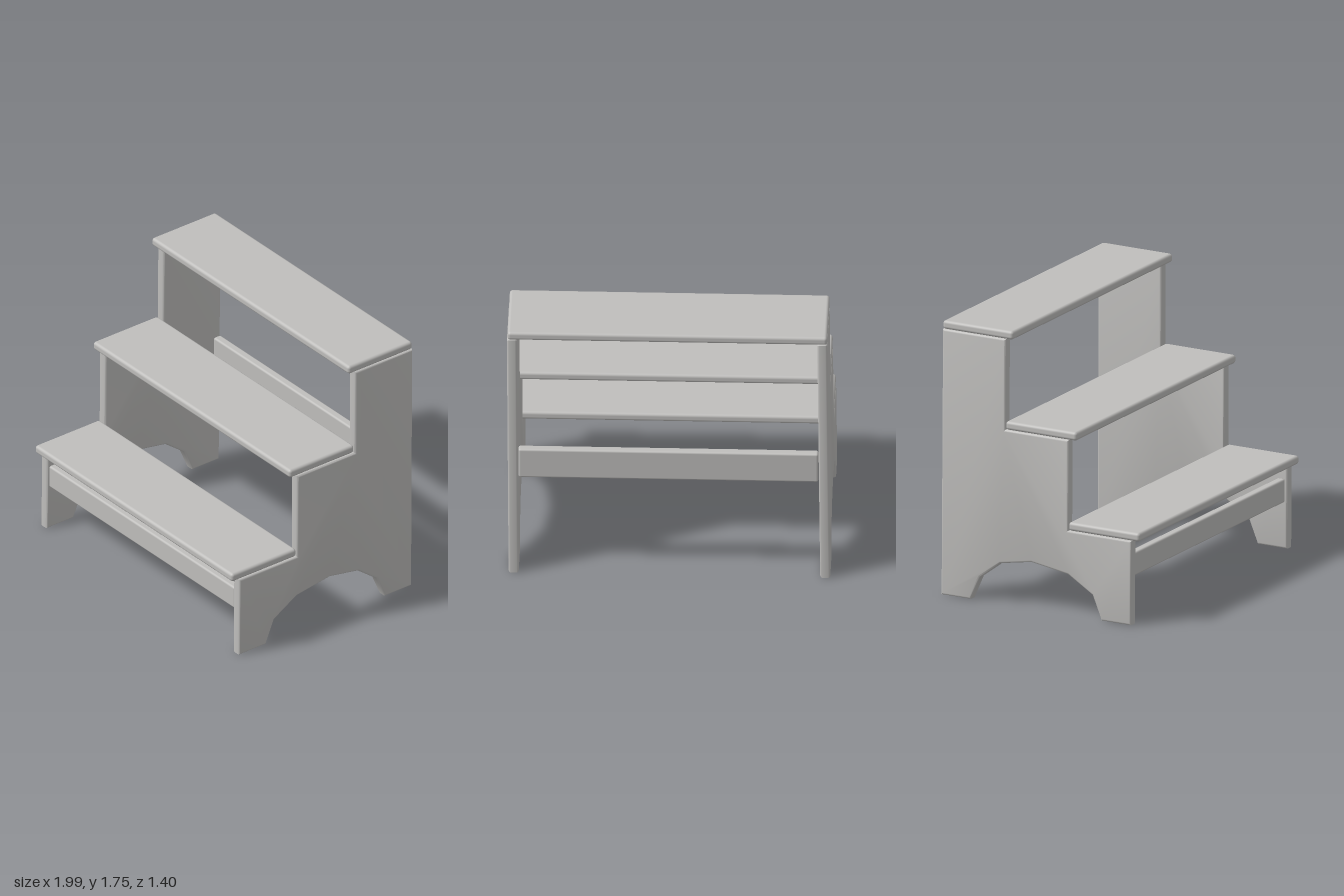
import * as THREE from 'three';
import { toCreasedNormals } from 'three/addons/utils/BufferGeometryUtils.js';
import { RoundedBoxGeometry } from 'three/addons/geometries/RoundedBoxGeometry.js';

// Side outline as [z, y]: stepped top edge and arched foot cut-out
const OUTLINE = [
  [0.65, 0], [0.65, 0.54], [0.2, 0.54], [0.2, 1.12], [-0.25, 1.12], [-0.25, 1.7],
  [-0.7, 1.7], [-0.7, 0], [-0.49, 0], [-0.425, 0.15], [-0.28, 0.26],
  [-0.06, 0.3], [0.2, 0.26], [0.375, 0.155], [0.44, 0],
];
const THICKNESS = 0.063;
const BEVEL = 0.013;

// Side panel whose centre leans from x = bottom to x = top
function panelGeometry(bottom, top) {
  const shape = new THREE.Shape(OUTLINE.map(([z, y]) => new THREE.Vector2(-z, y)));
  const geometry = new THREE.ExtrudeGeometry(shape, {
    depth: THICKNESS - 2 * BEVEL,
    bevelEnabled: true,
    bevelThickness: BEVEL,
    bevelSize: BEVEL,
    bevelOffset: -BEVEL,
    bevelSegments: 3,
  });
  geometry.translate(0, 0, BEVEL - THICKNESS / 2);
  geometry.rotateY(Math.PI / 2);
  const p = geometry.attributes.position;
  for (let i = 0; i < p.count; i++) {
    p.setX(i, p.getX(i) + bottom + (top - bottom) * p.getY(i) / 1.7);
  }
  return toCreasedNormals(geometry, 0.6);
}

export function createModel() {
  const group = new THREE.Group();
  const wood = new THREE.MeshStandardMaterial({ color: 0xbfbebc });
  wood.name = 'pale grey';

  const add = (name, geometry) => {
    const mesh = new THREE.Mesh(geometry, wood);
    mesh.name = name;
    group.add(mesh);
  };

  // Board with rounded edges, given by its limits on each axis
  const board = (name, [x0, x1], [y0, y1], [z0, z1], radius) => {
    const geometry = new RoundedBoxGeometry(x1 - x0, y1 - y0, z1 - z0, 3, radius);
    geometry.translate((x0 + x1) / 2, (y0 + y1) / 2, (z0 + z1) / 2);
    add(name, geometry);
  };

  // Side panels
  add('rightPanel', panelGeometry(-0.968, -0.95));
  add('leftPanel', panelGeometry(0.951, 0.962));

  // Treads
  board('lowerTread', [-0.99, 0.98], [0.54, 0.595], [0.2, 0.705], 0.019);
  board('middleTread', [-0.985, 0.983], [1.12, 1.175], [-0.25, 0.255], 0.019);
  board('topTread', [-0.98, 0.99], [1.7, 1.755], [-0.7, -0.2], 0.019);

  // Cross rails between the panels
  board('frontRail', [-0.932, 0.92], [0.3, 0.45], [0.585, 0.64], 0.013);
  board('backRail', [-0.925, 0.922], [0.695, 0.9], [-0.697, -0.642], 0.013);

  return group;
}
